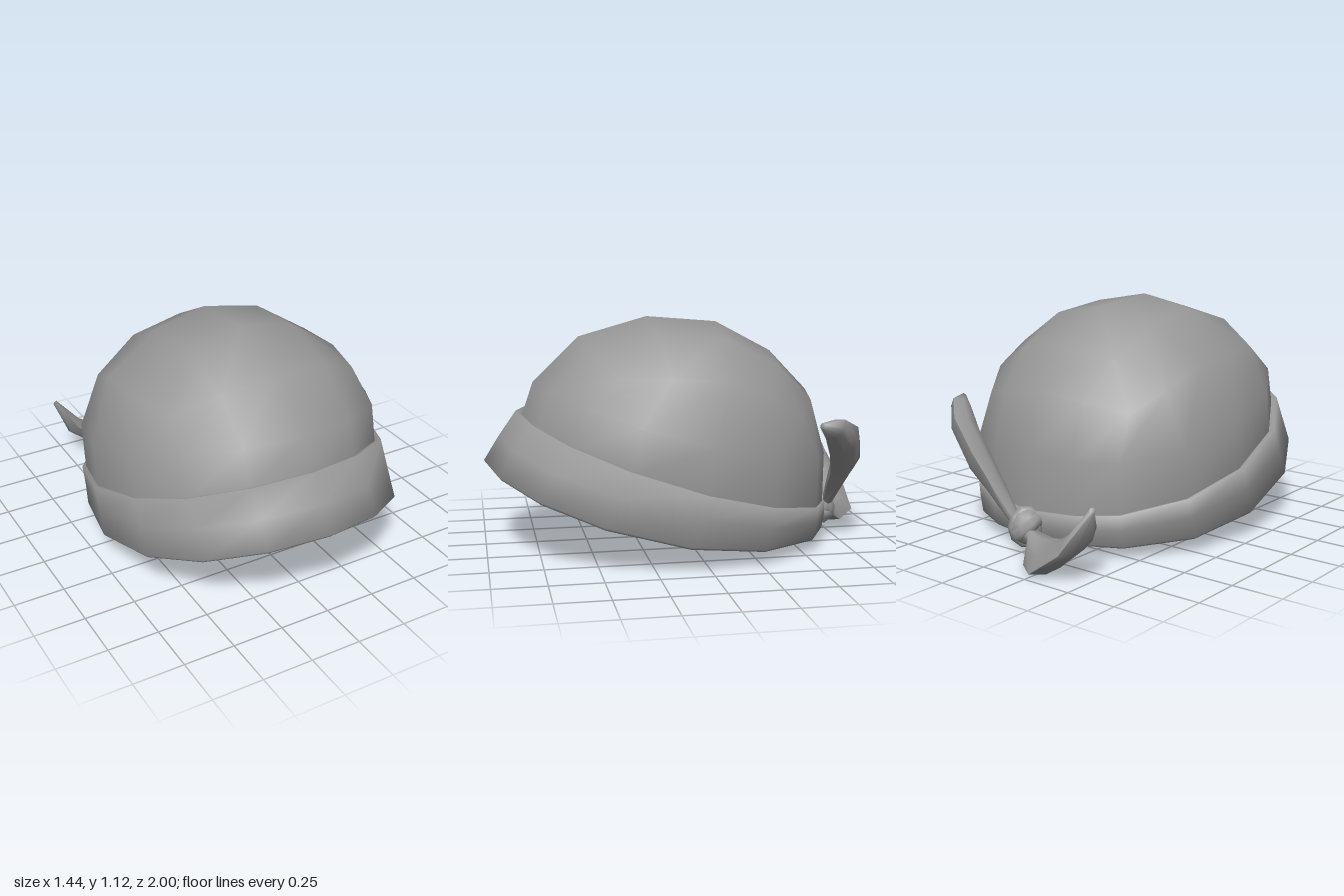
import * as THREE from 'three';
import { toCreasedNormals } from 'three/addons/utils/BufferGeometryUtils.js';

const material = new THREE.MeshStandardMaterial({ color: 0x989898, side: THREE.DoubleSide });

// Half of the oval head plan, front to back: u = share of half width, t = share of depth
const PLAN = [[0, 1], [0.4, 0.965], [0.735, 0.865], [0.935, 0.7], [1, 0.475], [0.895, 0.26], [0.62, 0.09], [0.35, 0.03], [0, 0]];

// Close a half outline (x >= 0, front to back) with its mirror image
function mirrored(half) {
  const other = half.slice(1, -1).reverse().map(p => new THREE.Vector3(-p.x, p.y, p.z));
  return [...half, ...other];
}

// Tilted oval ring: half width, front z/y, back z/y, and how far the sides lift or sag
function ring(w, zf, yf, zb, yb, lift) {
  return mirrored(PLAN.map(([u, t]) => new THREE.Vector3(
    w * u, yb + (yf - yb) * t + lift * 4 * t * (1 - t), zb + (zf - zb) * t)));
}

// Skin over closed cross-sections
function loft(name, rows, crease) {
  const n = rows[0].length, pos = [], idx = [];
  rows.forEach(r => r.forEach(p => pos.push(p.x, p.y, p.z)));
  for (let i = 0; i < rows.length - 1; i++) {
    for (let j = 0; j < n; j++) {
      const a = i * n + j, b = i * n + (j + 1) % n;
      idx.push(a, b, b + n, a, b + n, a + n);
    }
  }
  const g = new THREE.BufferGeometry();
  g.setAttribute('position', new THREE.Float32BufferAttribute(pos, 3));
  g.setIndex(idx);
  const mesh = new THREE.Mesh(toCreasedNormals(g, crease), material);
  mesh.name = name;
  return mesh;
}

// Top of the crown: middle, quarter and side columns, each from front to back
const TOP = [
  [[0, 1.03, 0.53], [0, 1.125, 0.19], [0, 1.095, -0.16], [0, 0.945, -0.44], [0, 0.745, -0.63]],
  [[0.28, 0.985, 0.5], [0.29, 1.07, 0.18], [0.29, 1.04, -0.14], [0.28, 0.9, -0.41], [0.24, 0.72, -0.59]],
  [[0.5, 0.88, 0.4], [0.56, 0.88, 0.15], [0.56, 0.865, -0.11], [0.52, 0.77, -0.33], [0.43, 0.67, -0.49]],
];
const RIM = [[0, 0], [1, 0], [2, 0], [2, 1], [2, 2], [2, 3], [2, 4], [1, 4], [0, 4]];
const topPoint = (c, r) => new THREE.Vector3(...TOP[c][r]);

// Dome rows from the band upwards, closed by a small grid; scaled about the middle of the head
function dome(scale) {
  const rows = [
    ring(0.697, 0.81, 0.65, -0.703, 0.2, -0.055),
    ring(0.702, 0.755, 0.81, -0.705, 0.45, -0.04),
    mirrored(RIM.map(([c, r]) => topPoint(c, r))),
    mirrored(RIM.map(([c, r]) => topPoint(Math.min(c, 1), Math.min(Math.max(r, 1), 3)))),
    Array.from({ length: 16 }, () => topPoint(0, 2)),
  ];
  const middle = new THREE.Vector3(0, 0.4, 0.04);
  rows.flat().forEach(p => p.sub(middle).multiplyScalar(scale).add(middle));
  return rows;
}

// Cloth tail between two edges, with a lens section and closed ends
function tail(name, edgeA, edgeB, thickness) {
  const A = edgeA.map(p => new THREE.Vector3(...p));
  const B = edgeB.map(p => new THREE.Vector3(...p));
  const mids = A.map((a, i) => a.clone().lerp(B[i], 0.5));
  const last = A.length - 1;
  const rows = A.map((a, i) => {
    const dir = mids[Math.min(i + 1, last)].clone().sub(mids[Math.max(i - 1, 0)]);
    const normal = B[i].clone().sub(a).cross(dir).normalize();
    const at = (s, k) => a.clone().lerp(B[i], s).addScaledVector(normal, thickness[i] * k);
    return [a, at(0.25, 0.8), at(0.5, 1), at(0.75, 0.8), B[i], at(0.75, -0.8), at(0.5, -1), at(0.25, -0.8)];
  });
  const cap = m => Array.from({ length: 8 }, () => m.clone());
  return loft(name, [cap(mids[0]), ...rows, cap(mids[last])], 1.4);
}

export function createModel() {
  const model = new THREE.Group();
  model.name = 'headscarf';

  // Rounded crown
  model.add(loft('crown', dome(1), Math.PI));

  // Lining inside the crown, turning at the rim into the folded band with its upper lip
  model.add(loft('liningAndBand', [
    ...dome(0.98).reverse(),
    ring(0.698, 0.965, 0.403, -0.688, 0.072, -0.108),
    ring(0.71, 0.985, 0.412, -0.698, 0.066, -0.108),
    ring(0.72, 1.0, 0.43, -0.705, 0.075, -0.108),
    ring(0.716, 0.925, 0.55, -0.716, 0.14, -0.08),
    ring(0.72, 0.84, 0.672, -0.714, 0.2, -0.055),
    ring(0.695, 0.808, 0.652, -0.7, 0.2, -0.055),
  ], Math.PI));

  // Two loose ends
  model.add(tail('raisedTail',
    [[0.0, 0.15, -0.77], [0.04, 0.2, -0.785], [0.12, 0.35, -0.835], [0.19, 0.48, -0.87], [0.38, 0.6, -0.79], [0.5, 0.66, -0.68], [0.575, 0.65, -0.56]],
    [[0.0, 0.1, -0.73], [0.06, 0.16, -0.725], [0.15, 0.26, -0.71], [0.24, 0.34, -0.7], [0.38, 0.46, -0.65], [0.49, 0.57, -0.59], [0.555, 0.635, -0.54]],
    [0.02, 0.03, 0.045, 0.06, 0.06, 0.045, 0.015]));
  model.add(tail('loweredTail',
    [[-0.02, 0.1, -0.78], [-0.08, 0.07, -0.79], [-0.13, 0.01, -0.88], [-0.27, 0.03, -0.995], [-0.44, 0.15, -0.995], [-0.55, 0.34, -0.91]],
    [[-0.02, 0.14, -0.74], [-0.08, 0.13, -0.74], [-0.19, 0.11, -0.735], [-0.33, 0.13, -0.72], [-0.47, 0.23, -0.77], [-0.55, 0.362, -0.885]],
    [0.02, 0.03, 0.045, 0.055, 0.045, 0.012]));

  // Knot: a core wrapped by two crossing loops
  const knot = new THREE.Group();
  knot.name = 'knot';
  const core = new THREE.Mesh(new THREE.SphereGeometry(0.08, 10, 8), material);
  core.name = 'knotCore';
  knot.add(core);
  [[0.2, 0.9, 0.5], [1.2, -0.5, 0.3]].forEach((r, i) => {
    const loop = new THREE.Mesh(new THREE.TorusGeometry(0.06, 0.032, 6, 10), material);
    loop.name = 'knotLoop' + (i + 1);
    loop.rotation.set(...r);
    knot.add(loop);
  });
  knot.position.set(-0.01, 0.125, -0.72);
  knot.scale.set(1, 1.1, 1);
  model.add(knot);

  return model;
}
